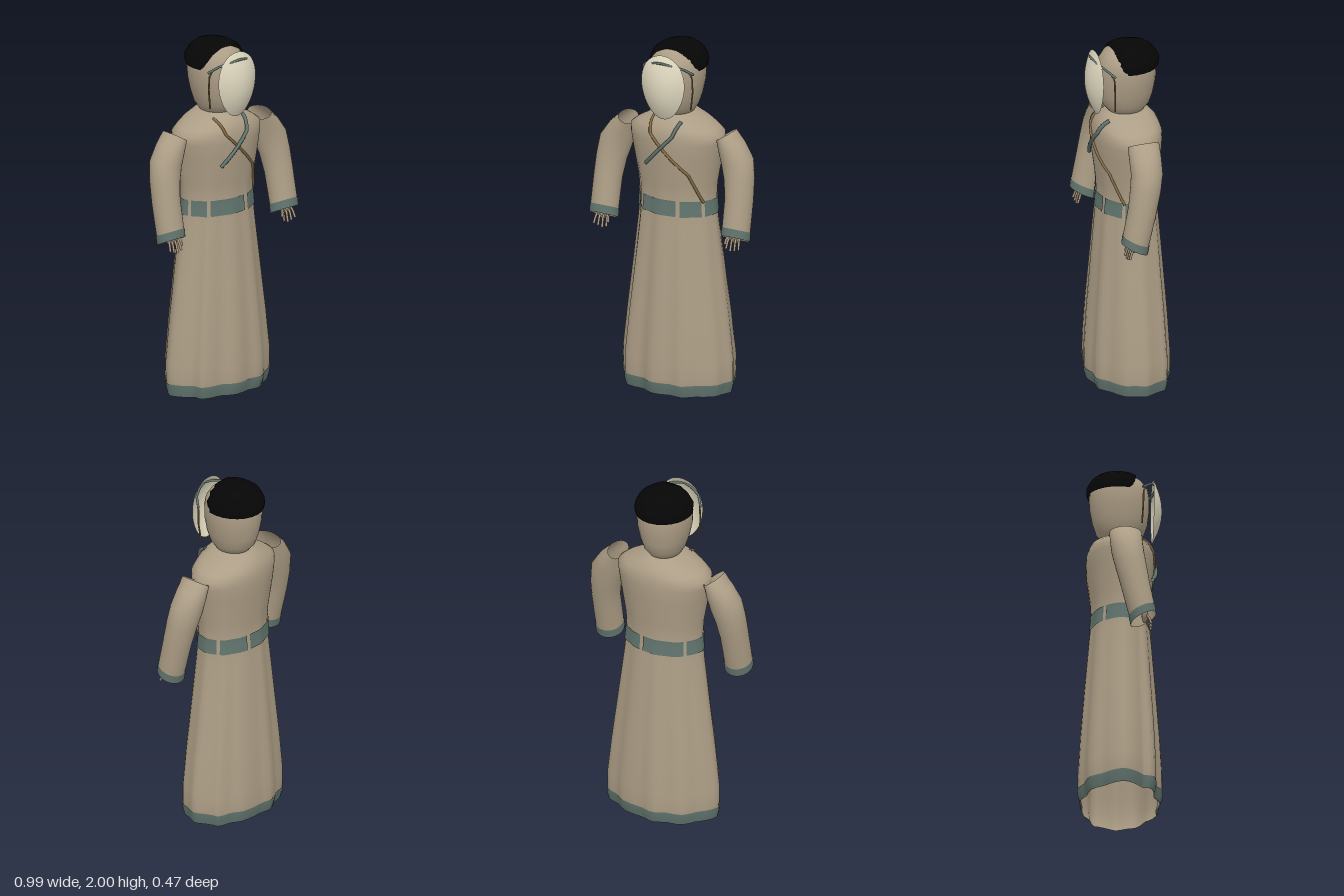
import * as THREE from 'three';

const mat = (name, color, side = THREE.DoubleSide) => {
  const m = new THREE.MeshStandardMaterial({ color, side });
  m.name = name;
  return m;
};

// Robe profile: height, half width, half depth, fold strength
const ROBE = [
  [0, 0.315, 0.21, 1], [0.04, 0.325, 0.221, 1], [0.09, 0.33, 0.225, 1],
  [0.18, 0.33, 0.225, 0.95], [0.4, 0.306, 0.213, 0.85], [0.7, 0.268, 0.191, 0.7],
  [0.97, 0.235, 0.17, 0.5], [1.1, 0.226, 0.158, 0.3], [1.2, 0.232, 0.163, 0.2],
  [1.37, 0.262, 0.184, 0.05], [1.45, 0.276, 0.187, 0], [1.495, 0.278, 0.184, 0],
  [1.525, 0.238, 0.175, 0], [1.555, 0.185, 0.162, 0], [1.59, 0.11, 0.13, 0], [1.6, 0.08, 0.09, 0],
];
const ROBE_SIDES = 64;

// Uneven folds of the skirt: angle in degrees, radius factor at the hem
const FOLDS = [
  [0, 1.03], [15, 0.98], [29, 1.025], [51, 0.97], [68, 1.07], [78, 0.965], [98, 1.04], [114, 0.91],
  [126, 1.01], [136, 1.05], [147, 0.91], [165, 0.98], [180, 1.03], [195, 0.98], [211, 0.93],
  [233, 1.03], [248, 0.965], [262, 1.07], [272, 0.97], [298, 1.01], [312, 0.955], [325, 1.07],
  [333, 1], [345, 0.98], [360, 1.03],
];

// Row of a table blended at the given first value
function blend(table, x) {
  let i = 0;
  while (i < table.length - 2 && x > table[i + 1][0]) i++;
  const a = table[i], b = table[i + 1], k = (x - a[0]) / (b[0] - a[0]);
  return a.map((v, j) => v + (b[j] - v) * k);
}

function robePoint(y, t, offset = 0) {
  const [, rx, rz, fold] = blend(ROBE, y);
  const w = 1 + fold * (blend(FOLDS, THREE.MathUtils.radToDeg(t))[1] - 1);
  return new THREE.Vector3((rx * w + offset) * Math.cos(t), y, (rz * w + offset) * Math.sin(t));
}

// Skin between rings listed from bottom to top; skip leaves out columns
function loft(rows, sides, point, skip = []) {
  const pos = [], index = [];
  rows.forEach((row) => {
    for (let j = 0; j < sides; j++) pos.push(...point(row, (j / sides) * Math.PI * 2).toArray());
  });
  for (let i = 0; i < rows.length - 1; i++) {
    for (let j = 0; j < sides; j++) {
      if (skip.includes(j)) continue;
      const n = (j + 1) % sides;
      const a = i * sides + j, b = i * sides + n, c = a + sides, d = b + sides;
      index.push(a, c, b, b, c, d);
    }
  }
  const g = new THREE.BufferGeometry();
  g.setAttribute('position', new THREE.Float32BufferAttribute(pos, 3));
  g.setIndex(index);
  g.computeVertexNormals();
  return g;
}

// Oval ring: height, half width, half depth, depth centre, optional flat front limit
const oval = ([y, rx, rz, cz, front = Infinity], t) =>
  new THREE.Vector3(rx * Math.cos(t), y, Math.min(cz + rz * Math.sin(t), front));

function tube(points, radius) {
  const path = new THREE.CurvePath();
  for (let i = 0; i < points.length - 1; i++) path.add(new THREE.LineCurve3(points[i], points[i + 1]));
  return new THREE.TubeGeometry(path, points.length * 4, radius, 6);
}

// Strap lying on the front of the robe
function strap(corners, radius, lift) {
  const points = [];
  corners.forEach(([x, y], i) => {
    const [nx, ny] = corners[i + 1] || [x, y];
    const steps = i < corners.length - 1 ? 5 : 1;
    for (let k = 0; k < steps; k++) {
      const px = x + (nx - x) * k / steps, py = y + (ny - y) * k / steps;
      const [, rx, rz] = blend(ROBE, py);
      points.push(new THREE.Vector3(px, py, rz * Math.sqrt(Math.max(0, 1 - (px / rx) ** 2)) + lift));
    }
  });
  return tube(points, radius);
}

// Sleeve rings, bottom to top: centre x, y, z, half width, half depth, side tilt, front tilt
const ARM = [
  [0.41, 0.942, 0.1, 0.08, 0.076, 0, 0.45], [0.41, 0.99, 0.092, 0.08, 0.077, 0, 0.43],
  [0.408, 1.16, 0.054, 0.08, 0.08, 0.03, 0.25], [0.397, 1.27, 0.032, 0.086, 0.085, 0.12, 0.15],
  [0.378, 1.36, 0.016, 0.093, 0.088, 0.3, 0.08], [0.342, 1.435, 0.012, 0.076, 0.09, 0.5, 0],
  [0.305, 1.505, 0.01, 0.048, 0.09, 0.56, 0],
];
const armPoint = (scale) => ([x, y, z, rx, rz, tx, tz], t) => {
  const u = rx * scale * Math.cos(t), v = rz * scale * Math.sin(t);
  return new THREE.Vector3(x + u * Math.cos(tx), y + u * Math.sin(tx) + v * Math.sin(tz), z + v * Math.cos(tz));
};

export function createModel() {
  const tan = mat('tan cloth', 0xad9e86);
  const slate = mat('slate trim', 0x62756f);
  const cream = mat('cream mask', 0xded7be);
  const brown = mat('brown leather', 0x846b45);
  const black = mat('black cap', 0x060606);
  const skin = mat('skin', 0xab9883);

  const model = new THREE.Group();
  model.name = 'robedFigure';
  const add = (name, geometry, material, parent = model) => {
    const m = new THREE.Mesh(geometry, material);
    m.name = name;
    parent.add(m);
    return m;
  };

  // Robe, hem band and belt made of separate plates
  const band = (offset) => (y, t) => robePoint(y, t, offset);
  add('robe', loft(ROBE.map((r) => r[0]), ROBE_SIDES, band(0)), tan);
  add('hemBand', loft([0, 0.04, 0.07], ROBE_SIDES, band(0.005)), slate);
  add('belt', loft([1.03, 1.1, 1.12], ROBE_SIDES, band(0.006), [5, 12, 23, 29, 38, 50, 59]), slate);

  // Crossed chest straps
  add('longStrap', strap([[-0.1, 1.58], [-0.08, 1.5], [0.14, 1.28], [0.2, 1.11]], 0.008, 0.004), brown);
  add('shortStrap', strap([[0.085, 1.575], [0.06, 1.5], [-0.11, 1.32]], 0.011, 0.012), slate);

  // Head, and a cap cut off flat above the brow
  add('head', loft([
    [1.585, 0.06, 0.07, 0], [1.6, 0.088, 0.098, 0], [1.64, 0.112, 0.132, 0], [1.7, 0.131, 0.152, 0],
    [1.78, 0.148, 0.164, -0.002], [1.85, 0.152, 0.166, -0.004], [1.9, 0.147, 0.158, -0.005],
    [1.94, 0.126, 0.135, -0.008], [1.97, 0.08, 0.1, -0.008], [1.985, 0.001, 0.001, -0.01],
  ], 32, oval), tan);
  add('cap', loft([
    [1.858, 0.157, 0.172, -0.006, 0.04], [1.88, 0.161, 0.177, -0.008, 0.06],
    [1.91, 0.157, 0.173, -0.01, 0.074], [1.95, 0.136, 0.147, -0.012, 0.082],
    [1.978, 0.098, 0.112, -0.014, 0.085], [1.993, 0.052, 0.062, -0.022, 0.05],
    [2, 0.001, 0.001, -0.03, 0],
  ], 24, oval), black);

  // Egg-shaped mask shell, wider towards the top and thin at its rim
  const mask = new THREE.SphereGeometry(1, 36, 24, 0, Math.PI);
  const p = mask.attributes.position;
  for (let i = 0; i < p.count; i++) {
    const y = p.getY(i);
    p.setXYZ(i, p.getX(i) * 0.133 * (1 + 0.14 * y), 1.78 + 0.185 * y, 0.178 + 0.053 * p.getZ(i) ** 2);
  }
  mask.computeVertexNormals();
  add('mask', mask, cream);

  // Band holding the mask, coming through its forehead
  const V = (x, y, z) => new THREE.Vector3(x, y, z);
  add('maskBand', tube([
    V(-0.157, 1.86, 0.115), V(-0.115, 1.9, 0.163), V(-0.05, 1.919, 0.192), V(0, 1.926, 0.2),
    V(0.05, 1.919, 0.192), V(0.115, 1.9, 0.163), V(0.157, 1.86, 0.115),
  ], 0.007), slate);

  // Side cords, sleeves, cuffs and hands, mirrored
  [1, -1].forEach((s) => {
    const side = new THREE.Group();
    side.name = s > 0 ? 'leftSide' : 'rightSide';
    side.scale.x = s;
    model.add(side);
    add('sideCord', tube([
      V(0.14, 1.875, 0.135), V(0.15, 1.84, 0.12), V(0.153, 1.76, 0.118), V(0.138, 1.65, 0.112),
    ], 0.005), brown, side);
    add('sleeve', loft(ARM, 28, armPoint(1)), tan, side);
    add('cuff', loft(ARM.slice(0, 2), 28, armPoint(1.04)), slate, side);

    const hand = new THREE.Group();
    hand.name = 'hand';
    side.add(hand);
    const palm = add('palm', new THREE.SphereGeometry(1, 14, 10), skin, hand);
    palm.scale.set(0.045, 0.045, 0.018);
    palm.position.set(0.412, 0.965, 0.108);
    for (let i = 0; i < 4; i++) {
      const x = 0.382 + i * 0.02;
      const tip = 0.88 + Math.abs(i - 1.2) * 0.009;
      add('finger', tube([V(x, 0.96, 0.112), V(x + 0.003 * (i - 1.5), 0.93, 0.13),
        V(x + 0.006 * (i - 1.5), tip, 0.142)], 0.007), skin, hand);
    }
    add('thumb', tube([V(0.385, 0.965, 0.115), V(0.367, 0.94, 0.13), V(0.364, 0.915, 0.138)], 0.007), skin, hand);
  });

  return model;
}
